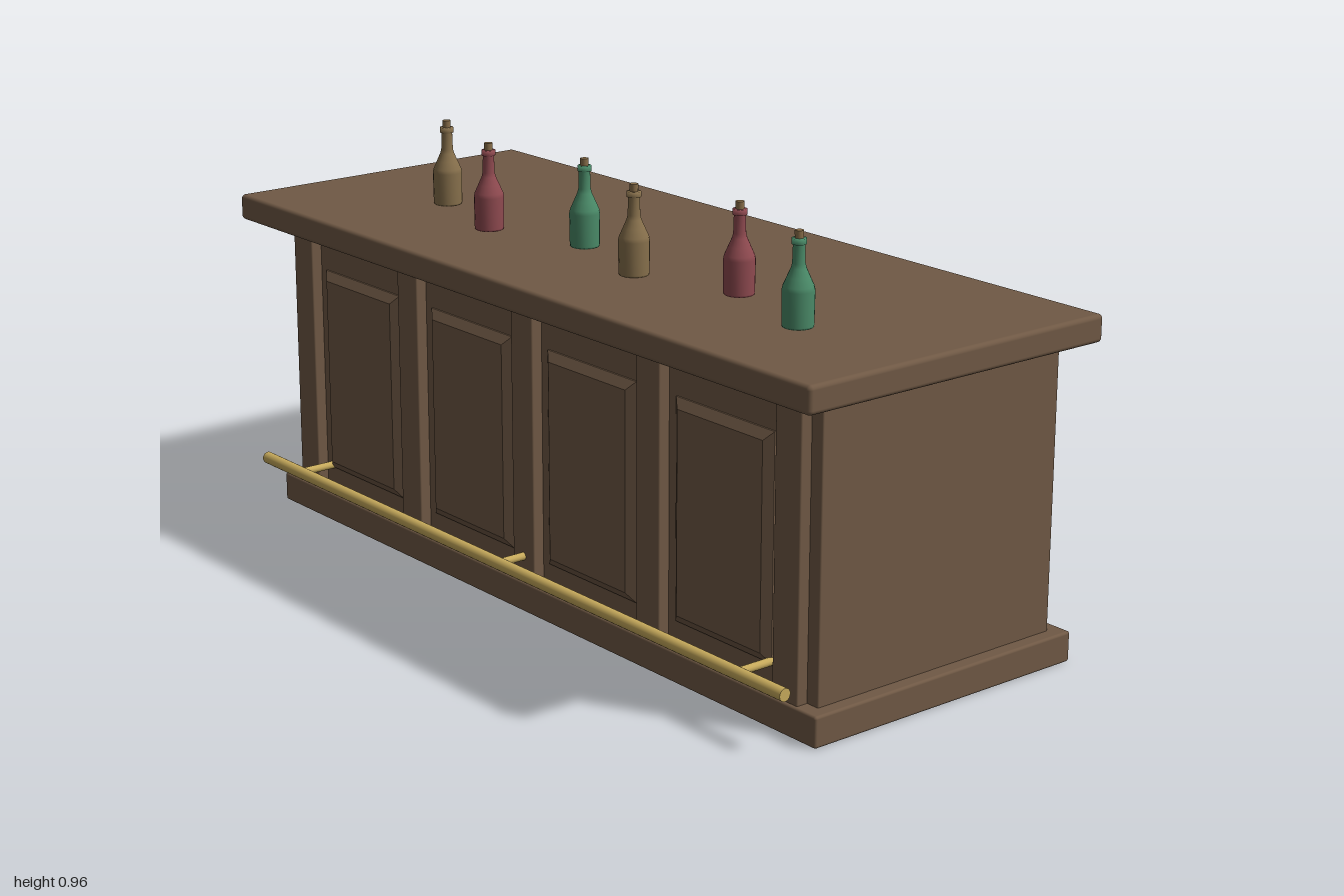
import * as THREE from 'three';
import { RoundedBoxGeometry } from 'three/addons/geometries/RoundedBoxGeometry.js';

const mat = (name, color) => {
  const m = new THREE.MeshStandardMaterial({ color });
  m.name = name;
  return m;
};

export function createModel() {
  const wood = mat('wood', 0x705945);
  const brass = mat('brass', 0xc8ab5c);
  const cork = mat('cork', 0x8a6f4a);
  const glass = [
    mat('greenGlass', 0x4a8a68),
    mat('redGlass', 0x8f4a50),
    mat('amberGlass', 0x87704c),
  ];

  const bar = new THREE.Group();
  bar.name = 'barCounter';
  const add = (parent, name, geometry, material, x = 0, y = 0, z = 0) => {
    const mesh = new THREE.Mesh(geometry, material);
    mesh.name = name;
    mesh.position.set(x, y, z);
    parent.add(mesh);
    return mesh;
  };
  // Softly rounded box given by its limits in x and y and its half depth
  const slab = (name, x0, x1, y0, y1, halfZ, r, z = 0) =>
    add(bar, name, new RoundedBoxGeometry(x1 - x0, y1 - y0, halfZ * 2, 3, r), wood,
      (x0 + x1) / 2, (y0 + y1) / 2, z);

  // Cabinet
  slab('plinth', -0.33, 0.39, 0, 0.068, 0.957, 0.006);
  slab('body', -0.295, 0.355, 0.06, 0.715, 0.925, 0.004);
  slab('counterTop', -0.4, 0.4, 0.705, 0.765, 1, 0.01);

  // Pilasters along the customer side
  const pitch = 0.428;
  for (let i = -2; i <= 2; i++) {
    slab('pilaster', -0.322, -0.285, 0.06, 0.688, 0.0375, 0.004, i * pitch);
  }

  // Raised panels with chamfered borders between the pilasters
  const bevel = 0.02, w = 0.15 - bevel, y0 = 0.12 + bevel, y1 = 0.605 - bevel;
  const outline = new THREE.Shape([
    new THREE.Vector2(-w, y0), new THREE.Vector2(w, y0),
    new THREE.Vector2(w, y1), new THREE.Vector2(-w, y1),
  ]);
  const panelGeometry = new THREE.ExtrudeGeometry(outline, {
    depth: 0.004, bevelEnabled: true, bevelSize: bevel, bevelThickness: 0.014, bevelSegments: 1,
  }).rotateY(-Math.PI / 2);
  for (let i = -1.5; i <= 1.5; i++) {
    add(bar, 'panel', panelGeometry, wood, -0.295, 0, i * pitch);
  }

  // Foot rail on three brackets
  const rail = new THREE.Group();
  rail.name = 'footRail';
  bar.add(rail);
  add(rail, 'railBar', new THREE.CylinderGeometry(0.014, 0.014, 1.87, 20).rotateX(Math.PI / 2),
    brass, -0.391, 0.125, 0);
  const bracket = new THREE.CylinderGeometry(0.009, 0.009, 0.1, 12).rotateZ(Math.PI / 2);
  for (const z of [-0.79, 0, 0.79]) add(rail, 'railBracket', bracket, brass, -0.341, 0.125, z);

  // Staggered row of corked bottles
  const profile = [
    [0, 0], [0.032, 0], [0.033, 0.004], [0.034, 0.075], [0.032, 0.084], [0.024, 0.102],
    [0.016, 0.12], [0.0135, 0.13], [0.0125, 0.168], [0.0155, 0.169], [0.0155, 0.181], [0, 0.181],
  ].map(([r, y]) => new THREE.Vector2(r, y));
  const bottleGeometry = new THREE.LatheGeometry(profile, 20);
  const corkGeometry = new THREE.CylinderGeometry(0.0095, 0.009, 0.02, 12);
  for (let i = 0; i < 6; i++) {
    const bottle = new THREE.Group();
    bottle.name = 'bottle';
    bottle.position.set(i % 2 ? -0.072 : -0.142, 0.765, 0.68 - i * 0.259);
    add(bottle, 'bottleGlass', bottleGeometry, glass[i % 3]);
    add(bottle, 'bottleCork', corkGeometry, cork, 0, 0.187, 0);
    bar.add(bottle);
  }
  return bar;
}
